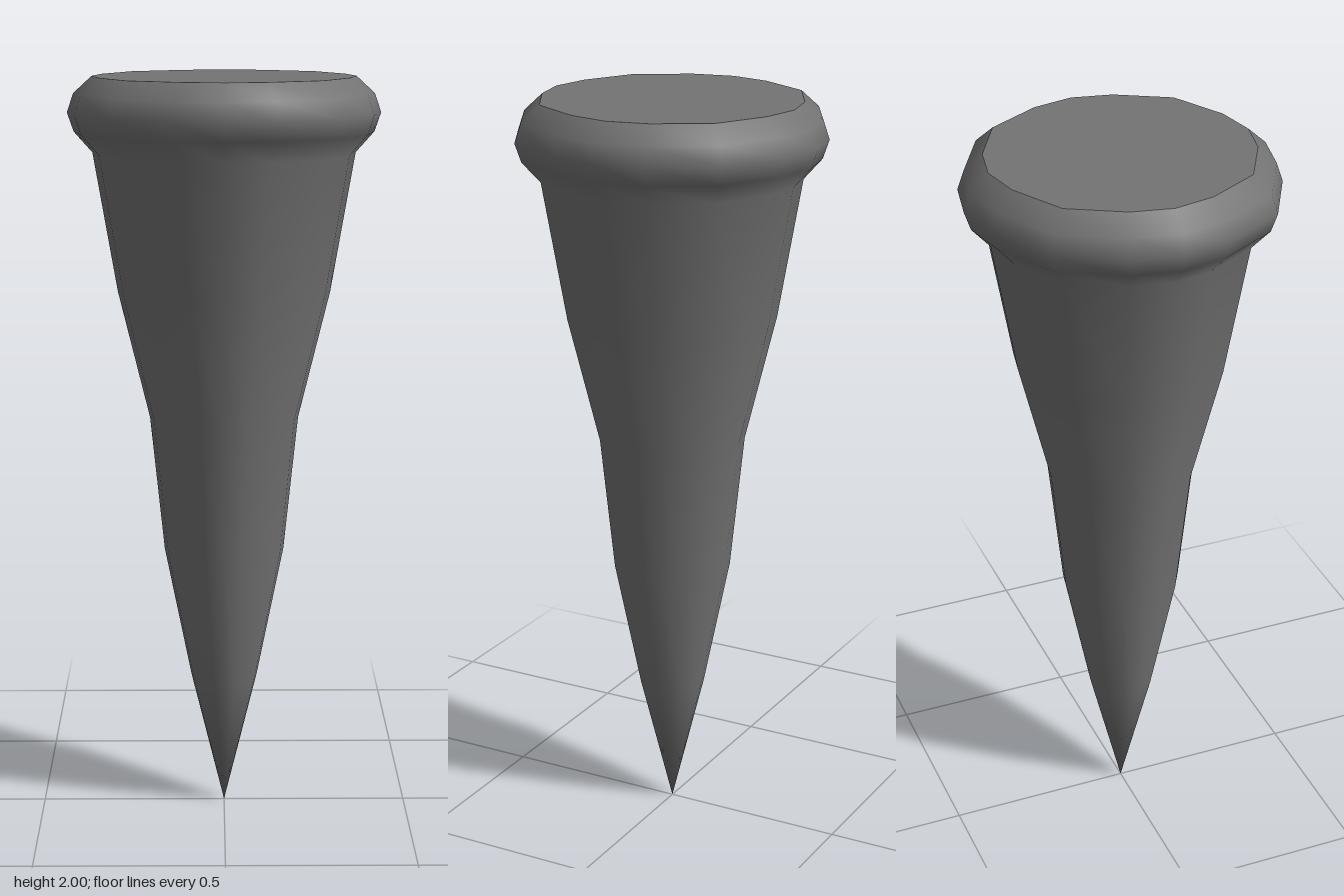
import * as THREE from 'three';
import { mergeVertices } from 'three/addons/utils/BufferGeometryUtils.js';

const SIDES = 16;
// Angles of the corners within one quarter turn, in degrees; the spacing is uneven
const CORNERS = [0, 18.4, 45, 71.6];
const REACH = [1, 0.986, 1.011, 0.986];

// Unit cross-section shared by every ring
const section = Array.from({ length: SIDES }, (_, k) => {
  const a = THREE.MathUtils.degToRad(CORNERS[k % 4] + 90 * Math.floor(k / 4));
  const r = REACH[k % 4];
  return [r * Math.sin(a), r * Math.cos(a)];
});

// Revolve [radius, height] pairs, bottom to top, around the uneven section
function turned(profile) {
  const geo = new THREE.LatheGeometry(profile.map(([r, y]) => new THREE.Vector2(r, y)), SIDES);
  const pos = geo.attributes.position;
  for (let i = 0; i < pos.count; i++) {
    const [r, y] = profile[i % profile.length];
    const [sx, sz] = section[Math.floor(i / profile.length) % SIDES];
    pos.setXYZ(i, r * sx, y, r * sz);
  }
  geo.deleteAttribute('uv');
  geo.deleteAttribute('normal');
  const welded = mergeVertices(geo);
  welded.computeVertexNormals();
  return welded;
}

export function createModel() {
  const group = new THREE.Group();
  group.name = 'spike';
  const material = new THREE.MeshStandardMaterial({ color: 0x737373 });
  const add = (name, profile) => {
    const mesh = new THREE.Mesh(turned(profile), material);
    mesh.name = name;
    group.add(mesh);
  };

  // Tapering shank flowing smoothly into the rounded rim
  add('shankAndRim', [
    [0, 0], [0.09, 0.365], [0.162, 0.722], [0.2, 1.087], [0.284, 1.43], [0.348, 1.8],
    [0.397, 1.855], [0.414, 1.905], [0.397, 1.955], [0.348, 2],
  ]);

  // Flat top with a sharp edge
  add('topCap', [[0.348, 2], [0, 2]]);

  return group;
}
